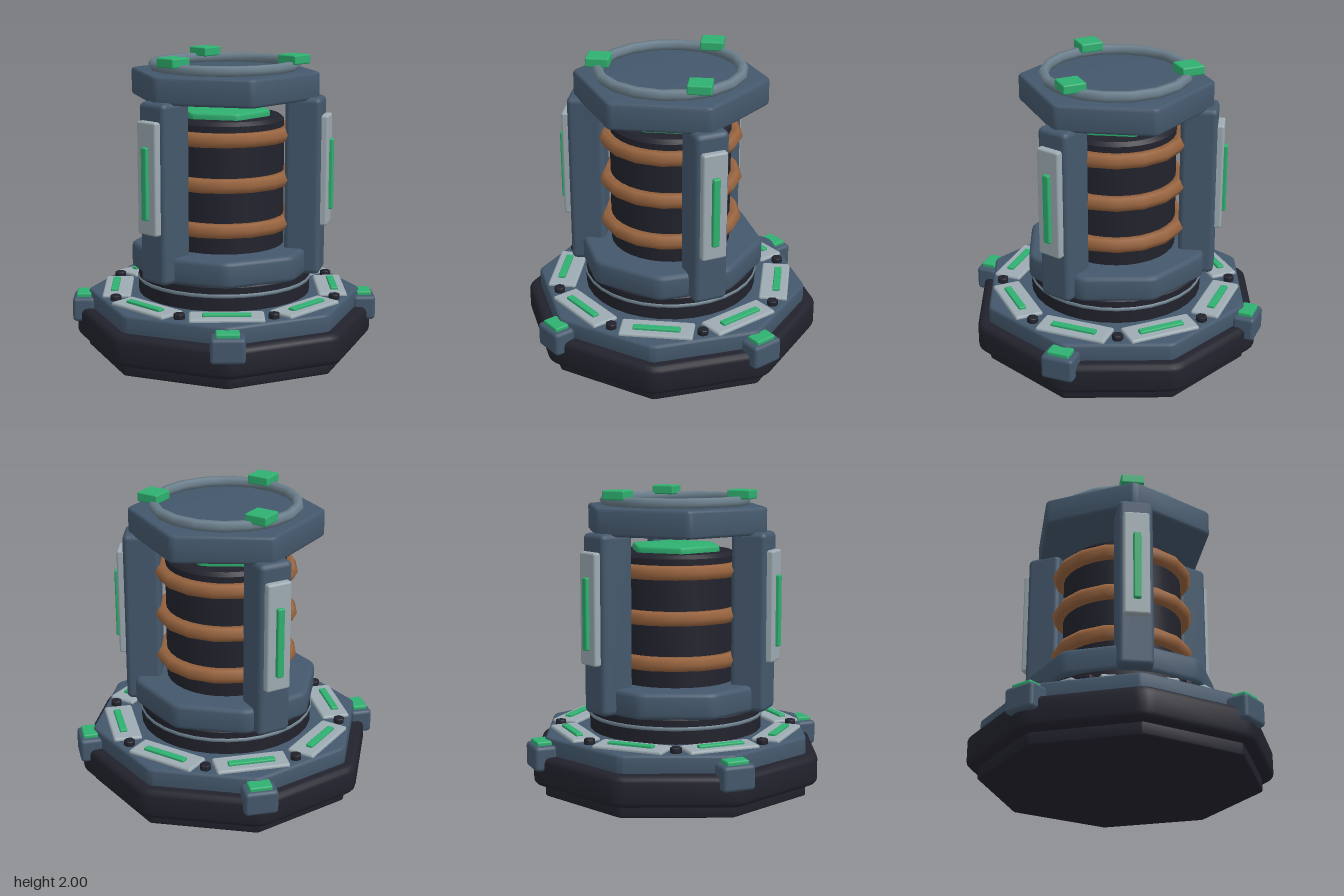
import * as THREE from 'three';
import { toCreasedNormals } from 'three/addons/utils/BufferGeometryUtils.js';
import { RoundedBoxGeometry } from 'three/addons/geometries/RoundedBoxGeometry.js';

function material(name, color) {
  const m = new THREE.MeshStandardMaterial({ color });
  m.name = name;
  return m;
}

// Upright prism with softened corners and bevelled rims, from y0 to y1
function prism(sides, radius, y0, y1, bevel, start = 0) {
  const corner = (i) => {
    const a = start + (i / sides) * Math.PI * 2;
    return new THREE.Vector2(Math.cos(a) * radius, Math.sin(a) * radius);
  };
  const shape = new THREE.Shape();
  const soft = bevel * 1.6 / (2 * radius * Math.sin(Math.PI / sides));
  for (let i = 0; i < sides; i++) {
    const c = corner(i);
    const a = c.clone().lerp(corner(i - 1), soft);
    const b = c.clone().lerp(corner(i + 1), soft);
    if (i === 0) shape.moveTo(a.x, a.y);
    else shape.lineTo(a.x, a.y);
    shape.quadraticCurveTo(c.x, c.y, b.x, b.y);
  }
  shape.closePath();
  const g = new THREE.ExtrudeGeometry(shape, {
    depth: y1 - y0 - 2 * bevel, bevelEnabled: true, bevelSize: bevel,
    bevelThickness: bevel, bevelOffset: -bevel, bevelSegments: 3, curveSegments: 3,
  });
  g.translate(0, 0, bevel).rotateX(-Math.PI / 2).translate(0, y0, 0);
  return toCreasedNormals(g, 0.6);
}

// Round body with bevelled rims, from y0 to y1
function drum(radius, y0, y1, bevel, segments = 32) {
  const points = [
    [0, y0], [radius - bevel, y0], [radius, y0 + bevel],
    [radius, y1 - bevel], [radius - bevel, y1], [0, y1],
  ].map(([x, y]) => new THREE.Vector2(x, y));
  return toCreasedNormals(new THREE.LatheGeometry(points, segments), 0.6);
}

function ring(radius, tube, y, radial, tubular) {
  return new THREE.TorusGeometry(radius, tube, radial, tubular)
    .rotateX(Math.PI / 2).translate(0, y, 0);
}

const box = (w, h, d, r) => new RoundedBoxGeometry(w, h, d, 2, r);

export function createModel() {
  const slate = material('slate blue', 0x44586c);
  const dark = material('charcoal', 0x22222d);
  const pale = material('pale grey', 0x9dabb2);
  const steel = material('steel', 0x6c808d);
  const copper = material('copper', 0x98643f);
  const green = material('green glow', 0x2fb070);

  const model = new THREE.Group();
  model.name = 'reactorPedestal';
  const add = (name, geometry, mat, parent = model) => {
    const mesh = new THREE.Mesh(geometry, mat);
    mesh.name = name;
    parent.add(mesh);
    return mesh;
  };
  // Group turned outward at an angle measured from the front
  const station = (name, angle, radius, y) => {
    const g = new THREE.Group();
    g.name = name;
    g.position.set(Math.sin(angle) * radius, y, Math.cos(angle) * radius);
    g.rotation.y = angle;
    model.add(g);
    return g;
  };

  // Octagonal base
  add('foot', prism(8, 0.925, 0, 0.1, 0.01), dark);
  add('baseSkirt', prism(8, 1.01, 0.08, 0.285, 0.04), dark);
  add('deck', prism(8, 0.925, 0.26, 0.4, 0.02), slate);

  // Lit panels and bolts around the deck
  for (let i = 0; i < 8; i++) {
    const a = (i * Math.PI) / 4;
    const panel = station('deckPanel', a, 0.72, 0.4);
    add('panelPlate', box(0.48, 0.04, 0.19, 0.015), pale, panel);
    add('panelLight', box(0.31, 0.03, 0.05, 0.008), green, panel).position.set(0, 0.022, 0.017);
    const bolt = station('deckBolt', a + Math.PI / 8, 0.78, 0.41);
    add('boltHead', prism(6, 0.039, -0.02, 0.025, 0.006), dark, bolt);
  }

  // Clamps on the four diagonals
  for (let i = 0; i < 4; i++) {
    const clamp = station('clamp', Math.PI / 4 + (i * Math.PI) / 2, 0.95, 0.275);
    add('clampBlock', box(0.22, 0.165, 0.15, 0.025), slate, clamp);
    add('clampLight', box(0.15, 0.04, 0.1, 0.01), green, clamp).position.y = 0.088;
  }

  // Neck and collar
  add('neck', drum(0.58, 0.38, 0.57, 0.015), dark);
  add('neckRing', ring(0.572, 0.016, 0.5, 8, 32), steel);
  add('collar', prism(8, 0.63, 0.555, 0.73, 0.03), slate);

  // Core with coils and a lit hexagonal top
  add('core', drum(0.4, 0.7, 1.59, 0.025), dark);
  [0.89, 1.185, 1.48].forEach((y) => add('coil', ring(0.425, 0.051, y, 6, 16), copper));
  add('coreLight', prism(6, 0.315, 1.57, 1.632, 0.015, Math.PI / 2), green);

  // Hexagonal cap with a rim ring
  add('cap', prism(6, 0.645, 1.71, 1.89, 0.02, Math.PI / 2), slate);
  add('capRing', ring(0.468, 0.036, 1.925, 6, 18), steel);

  // Three pillars, each with a cap light above
  for (let i = 0; i < 3; i++) {
    const a = (i * Math.PI * 2) / 3;
    const pillar = station('pillar', a, 0.55, 1.143);
    add('pillarPost', box(0.23, 1.175, 0.24, 0.035), slate, pillar);
    add('pillarPlate', box(0.17, 0.73, 0.06, 0.015), pale, pillar).position.set(0, 0.107, 0.133);
    add('pillarLight', box(0.05, 0.47, 0.04, 0.01), green, pillar).position.set(0, 0.077, 0.168);
    const light = add('capLight', box(0.155, 0.062, 0.155, 0.01), green);
    light.position.set(Math.sin(a) * 0.468, 1.969, Math.cos(a) * 0.468);
  }

  return model;
}
